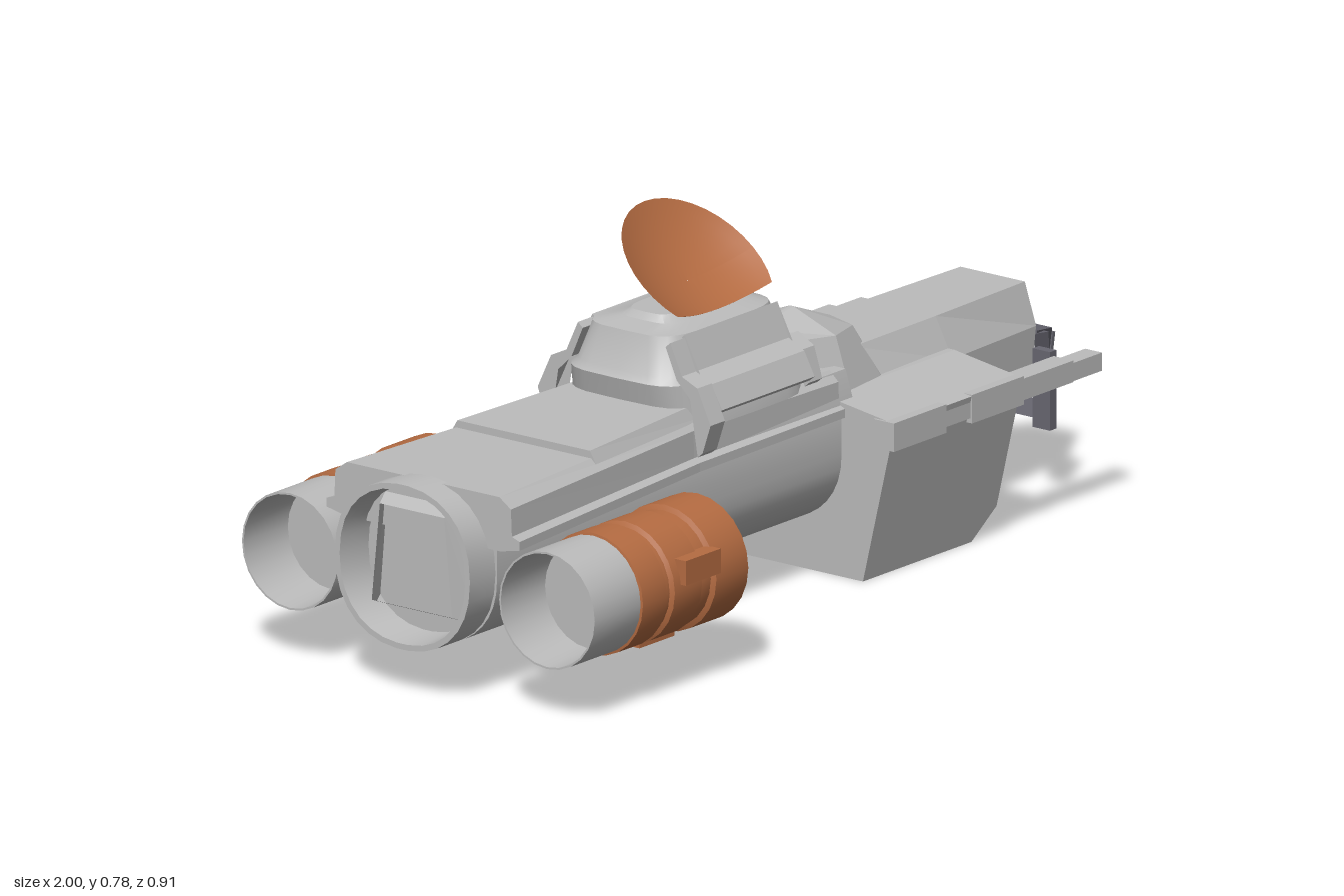
import * as THREE from 'three';
import { toCreasedNormals } from 'three/addons/utils/BufferGeometryUtils.js';

const mat = (name, color, side = THREE.FrontSide) => {
  const m = new THREE.MeshStandardMaterial({ color, side });
  m.name = name;
  return m;
};

// Skin closed rings of [x, y, z], counter-clockwise seen from the last ring's end
function skin(rings, caps = true) {
  const pos = [];
  const tri = (a, b, c) => pos.push(...a, ...b, ...c);
  const n = rings[0].length;
  for (let r = 0; r < rings.length - 1; r++) {
    const a = rings[r], b = rings[r + 1];
    for (let i = 0; i < n; i++) {
      const j = (i + 1) % n;
      tri(a[i], a[j], b[j]);
      tri(a[i], b[j], b[i]);
    }
  }
  if (caps) {
    for (const [ring, front] of [[rings[0], false], [rings[rings.length - 1], true]]) {
      const mid = [0, 1, 2].map(k => ring.reduce((s, p) => s + p[k], 0) / n);
      for (let i = 0; i < n; i++) {
        const j = (i + 1) % n;
        front ? tri(mid, ring[i], ring[j]) : tri(mid, ring[j], ring[i]);
      }
    }
  }
  const g = new THREE.BufferGeometry();
  g.setAttribute('position', new THREE.Float32BufferAttribute(pos, 3));
  g.computeVertexNormals();
  return g;
}

// Mirrored cross-section at x; half is [z, y, dx] from top to bottom
const section = (x, half, cz = 0) => [
  ...half.map(([z, y, d = 0]) => [x + d, y, cz + z]),
  ...half.slice().reverse().map(([z, y, d = 0]) => [x + d, y, cz - z]),
];

// Signed power, for rounded rectangles
const pow = (v, e) => Math.sign(v) * Math.abs(v) ** e;

// Lathe turned so that its axis runs along x; profile is [x, radius]
const turned = (profile, segments = 24) => toCreasedNormals(
  new THREE.LatheGeometry(profile.map(([x, r]) => new THREE.Vector2(r, x)), segments)
    .rotateZ(-Math.PI / 2), 0.5);

export function createModel() {
  const ship = new THREE.Group();
  ship.name = 'spaceship';
  const grey = mat('hullGrey', 0xbcbcbc);
  const greyOpen = mat('hullGreyOpen', 0xbcbcbc, THREE.DoubleSide);
  const orange = mat('rustOrange', 0xb56c42, THREE.DoubleSide);
  const dark = mat('cockpitGrey', 0x686771, THREE.DoubleSide);

  const add = (name, geo, material, parent = ship) => {
    const m = new THREE.Mesh(geo, material);
    m.name = name;
    parent.add(m);
    return m;
  };
  const box = (name, x0, x1, y0, y1, z0, z1, material = grey, parent = ship) =>
    add(name, new THREE.BoxGeometry(x1 - x0, y1 - y0, Math.abs(z1 - z0))
      .translate((x0 + x1) / 2, (y0 + y1) / 2, (z0 + z1) / 2), material, parent);

  // Lower hull with a rounded belly
  const hullHalf = [[0.15, 0.41], [0.172, 0.34]];
  for (let i = 0; i <= 9; i++) {
    const a = (i / 9) * Math.PI / 2;
    hullHalf.push([0.001 + 0.171 * pow(Math.cos(a), 0.92), 0.25 - 0.155 * pow(Math.sin(a), 0.92)]);
  }
  add('lowerHull', toCreasedNormals(skin([section(-0.92, hullHalf), section(0.2, hullHalf)]), 0.4), grey);

  // Tapering upper deck with upright sides above thin ledges
  const deck = (w, top) => [[w * 0.79, top], [w * 0.91, top - 0.02], [w * 0.92, 0.35],
    [w, 0.343], [w, 0.325], [w * 0.8, 0.315]];
  add('upperDeck', skin([section(-0.935, deck(0.24, 0.425)), section(-0.3, deck(0.185, 0.425)),
    section(0.16, deck(0.18, 0.415))]), grey);
  add('raisedDeckPlate', skin([section(-0.62, [[0.165, 0.44], [0.18, 0.415]]),
    section(-0.2, [[0.135, 0.445], [0.15, 0.415]])]), grey);

  // Main exhaust: rounded ring with an inner nozzle
  const exhaust = new THREE.Group();
  exhaust.name = 'mainExhaust';
  ship.add(exhaust);
  const oval = (x, k) => section(x, Array.from({ length: 15 }, (_, i) => {
    const a = (i + 0.3) / 14.6 * Math.PI;
    return [0.168 * k * pow(Math.sin(a), 0.9), 0.262 + 0.168 * k * pow(Math.cos(a), 0.9)];
  }));
  add('exhaustRing', toCreasedNormals(skin([oval(-0.92, 0.88), oval(-1, 0.93), oval(-1, 1), oval(-0.92, 1)], false), 0.5),
    greyOpen, exhaust);
  add('exhaustInner', skin([section(-0.97, [[0.08, 0.37], [0.1, 0.17]]),
    section(-0.92, [[0.1, 0.39], [0.12, 0.15]])], false), greyOpen, exhaust);

  // Cargo block under the front, with a chamfered lower edge
  const block = (zb, yb) => [[0.135, 0.36], [0.305, 0.335], [zb, yb]];
  add('cargoBlock', skin([section(0.16, block(0.225, 0)), section(0.5, block(0.225, 0)),
    section(0.56, block(0.24, 0.062))]), grey);
  for (const s of [1, -1]) {
    box('shoulderRear', 0.155, 0.32, 0.28, 0.338, s * 0.255, s * 0.306);
    box('shoulderMiddle', 0.32, 0.4, 0.29, 0.33, s * 0.255, s * 0.302);
    box('shoulderFront', 0.4, 0.562, 0.28, 0.338, s * 0.255, s * 0.306);
    box('forwardProng', 0.56, 0.72, 0.288, 0.332, s * 0.255, s * 0.304);
    box('prongTip', 0.72, 0.815, 0.288, 0.325, s * 0.258, s * 0.3);
  }

  // Forward cabin above a narrow keel with a sloping front
  add('cabin', skin([section(0.3, [[0.09, 0.42], [0.14, 0.34], [0.14, 0.2]]),
    section(0.56, [[0.088, 0.42], [0.13, 0.34], [0.13, 0.2]]),
    section(0.85, [[0.08, 0.42], [0.108, 0.335], [0.108, 0.2, -0.02]])]), grey);
  add('cabinKeel', skin([section(0.5, [[0.075, 0.22], [0.062, 0.115]]),
    section(0.83, [[0.068, 0.21], [0.06, 0.115, -0.045]])]), grey);

  // Ridged fairing between turret and cabin
  const ridge = (z1, y0, y1, z2, y2) => [[0.004, y0], [z1, y1], [z2, y2]];
  add('neckFairing', skin([section(0.02, ridge(0.1, 0.49, 0.48, 0.13, 0.36)),
    section(0.1, ridge(0.07, 0.485, 0.47, 0.12, 0.36)),
    section(0.22, ridge(0.11, 0.505, 0.465, 0.145, 0.36)),
    section(0.335, ridge(0.06, 0.46, 0.45, 0.13, 0.36)),
    section(0.35, ridge(0.05, 0.42, 0.415, 0.12, 0.36))]), grey);

  // Turret body from rounded rings: [y, back x, front x, half width]
  const turretRings = [[0.4, -0.31, 0.1, 0.17], [0.49, -0.335, 0.08, 0.155], [0.505, -0.325, 0.075, 0.142],
    [0.58, -0.305, 0.05, 0.115], [0.588, -0.25, 0.03, 0.075], [0.602, -0.24, 0.01, 0.055]]
    .map(([y, x0, x1, w]) => Array.from({ length: 28 }, (_, i) => {
      const a = (i / 28) * Math.PI * 2;
      return [(x0 + x1) / 2 + (x1 - x0) / 2 * pow(Math.cos(a), 0.45), y, -w * pow(Math.sin(a), 0.45)];
    }));
  add('turretBody', toCreasedNormals(skin(turretRings), 0.6), grey);

  // Side skirts and legs of the turret
  const plate = (s, x0, x1, path) => {
    const ring = x => {
      const pts = [...path, ...path.slice().reverse().map(([z, y]) => [z - 0.012, y - 0.01])]
        .map(([z, y]) => [x, y, s * z]);
      return s > 0 ? pts.reverse() : pts;
    };
    return skin([ring(x0), ring(x1)]);
  };
  for (const s of [1, -1]) {
    add('turretSkirt', plate(s, -0.26, 0.03, [[0.115, 0.581], [0.143, 0.512], [0.182, 0.493], [0.208, 0.445]]), greyOpen);
    add('turretRearLeg', plate(s, -0.305, -0.26, [[0.115, 0.575], [0.143, 0.512], [0.182, 0.495], [0.215, 0.425],
      [0.195, 0.365]]), greyOpen);
    add('turretFrontLeg', plate(s, 0.03, 0.07, [[0.135, 0.515], [0.175, 0.493], [0.195, 0.43]]), greyOpen);
  }

  // Shallow dish, trimmed straight along its lower edge
  const dishGeo = new THREE.RingGeometry(0.001, 0.172, 36, 8);
  const p = dishGeo.attributes.position;
  for (let i = 0; i < p.count; i++) {
    const y = Math.max(p.getY(i), -0.085);
    p.setXYZ(i, p.getX(i), y, -0.042 * (1 - (p.getX(i) ** 2 + y * y) / 0.0296));
  }
  dishGeo.computeVertexNormals();
  const dish = add('dish', dishGeo, orange);
  dish.position.set(-0.12, 0.672, 0.037);
  dish.rotation.x = -0.885;

  // Side engines
  for (const s of [1, -1]) {
    const engine = new THREE.Group();
    engine.name = s > 0 ? 'leftEngine' : 'rightEngine';
    engine.position.set(0, 0.222, s * 0.32);
    ship.add(engine);
    add('engineCasing', turned([[-0.81, 0.1], [-0.805, 0.124], [-0.73, 0.124], [-0.725, 0.115], [-0.71, 0.115],
      [-0.705, 0.124], [-0.62, 0.124], [-0.615, 0.118], [-0.585, 0.118], [-0.58, 0.128], [-0.48, 0.128],
      [-0.435, 0.088], [-0.435, 0.064], [-0.426, 0.056], [-0.426, 0]]), orange, engine);
    add('engineTube', turned([[-0.8, 0.108], [-0.95, 0.115], [-0.95, 0.119], [-0.8, 0.119]]), greyOpen, engine);
    add('tubeBackWall', turned([[-0.82, 0], [-0.82, 0.108]]), greyOpen, engine);
    box('outerClamp', -0.685, -0.575, 0.013, 0.063, s * 0.1, s * 0.135, orange, engine);
    box('lowerClamp', -0.685, -0.575, -0.136, -0.1, -0.02, 0.02, orange, engine);
  }

  // Open cockpit shell with a sloping framed window at the front
  const cz = -0.017;
  add('cockpitShell', skin([section(0.868, [[0.105, 0.31], [0.12, 0.14]], cz),
    section(0.93, [[0.092, 0.298], [0.108, 0.14, -0.005]], cz),
    section(0.975, [[0.056, 0.278, 0.01], [0.052, 0.14, -0.005]], cz)], false), dark);
  const face = new THREE.Shape([[-0.054, 0.135], [0.054, 0.135], [0.05, 0], [-0.05, 0]]
    .map(q => new THREE.Vector2(...q)));
  face.holes.push(new THREE.Path([[-0.038, 0.118], [0.038, 0.118], [0.029, 0.015], [-0.029, 0.015]]
    .map(q => new THREE.Vector2(...q))));
  add('windowFrame', new THREE.ExtrudeGeometry(face, { depth: 0.008, bevelEnabled: false })
    .rotateY(Math.PI / 2).rotateZ(-0.14).translate(0.973, 0.142, cz), dark);
  add('windowBrow', skin([section(0.885, [[0.1, 0.312], [0.1, 0.3]], cz),
    section(0.975, [[0.058, 0.287, 0.01], [0.056, 0.272, 0.01]], cz)]), dark);
  box('cockpitNeck', 0.83, 0.875, 0.21, 0.29, -0.07, 0.05, grey);

  // Narrow panels beside the cockpit
  box('leftSidePanel', 0.818, 0.838, 0.14, 0.3, 0.125, 0.168, dark);
  box('rightSidePanel', 0.818, 0.838, 0.14, 0.3, -0.166, -0.138, dark);
  return ship;
}
